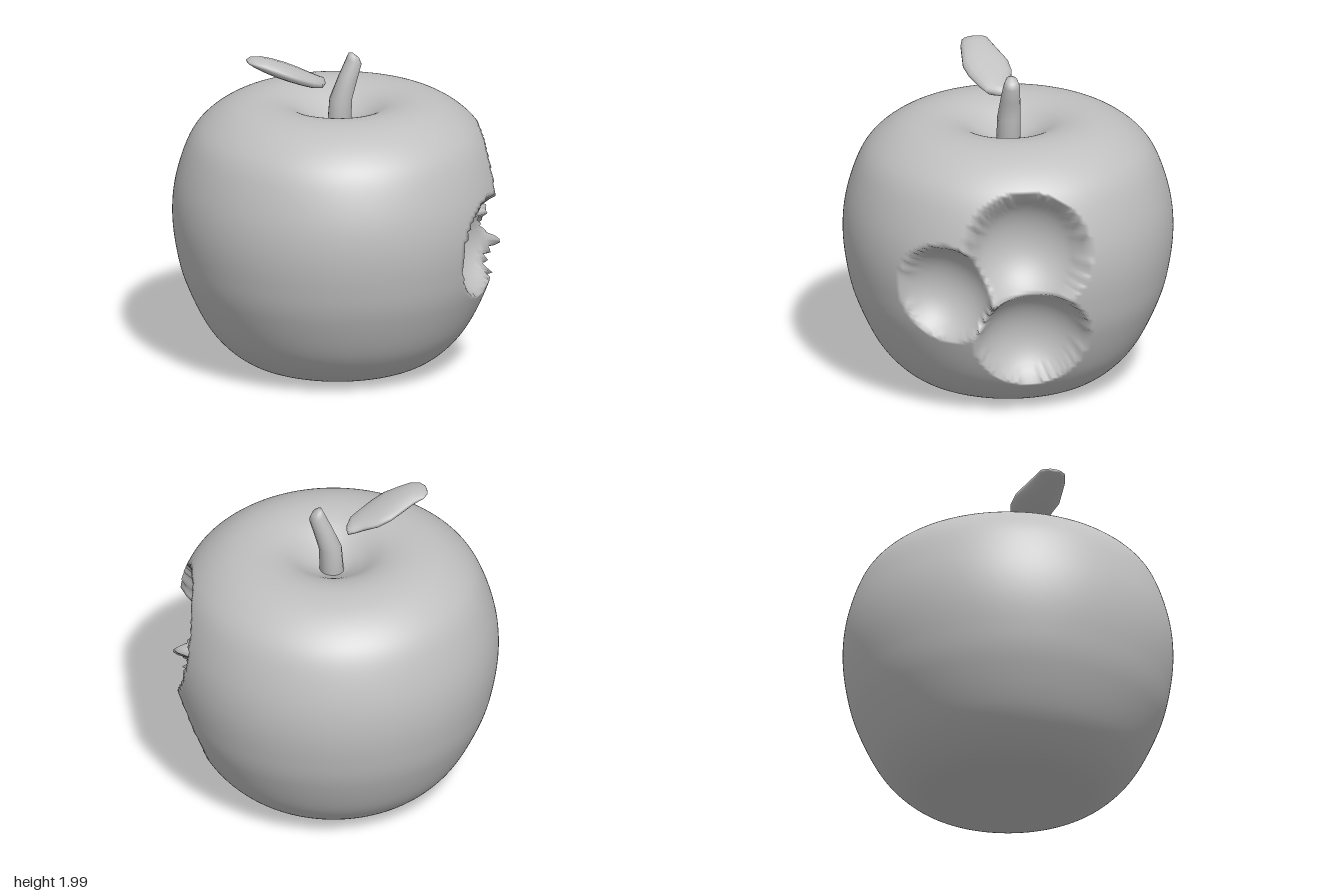
import * as THREE from 'three';
import { mergeVertices } from 'three/addons/utils/BufferGeometryUtils.js';

// Smooth closed loft. Each section is [x, y, z, ax, ay, az]:
// an ellipse around (x, y, z) with half-axes (ax, ay, 0) and (0, 0, az).
function loft(sections, sides) {
  const pos = [], index = [];
  sections.forEach(([x, y, z, ax, ay, az], i) => {
    for (let j = 0; j < sides; j++) {
      const t = (j / sides) * Math.PI * 2, c = Math.cos(t), s = Math.sin(t);
      pos.push(x + ax * c, y + ay * c, z + az * s);
      if (i === sections.length - 1) continue;
      const k = (j + 1) % sides;
      const a = i * sides + j, b = i * sides + k;
      index.push(a, a + sides, b, b, a + sides, b + sides);
    }
  });
  const g = new THREE.BufferGeometry();
  g.setAttribute('position', new THREE.Float32BufferAttribute(pos, 3));
  g.setIndex(index);
  const merged = mergeVertices(g, 1e-4);
  merged.computeVertexNormals();
  return merged;
}

// Turned fruit body with dimples at both ends, then scooped by spheres
function bodyGeometry() {
  const profile = new THREE.SplineCurve([
    [0, 0.08], [0.1, 0.065], [0.25, 0.03], [0.4, 0.01], [0.6, 0.075], [0.78, 0.25],
    [0.92, 0.53], [0.98, 0.76], [1.0, 0.98], [0.975, 1.19], [0.9, 1.41], [0.8, 1.54],
    [0.65, 1.635], [0.48, 1.67], [0.32, 1.645], [0.17, 1.56], [0.07, 1.505], [0, 1.49],
  ].map(([r, y]) => new THREE.Vector2(r, y)));
  const points = profile.getSpacedPoints(150);
  points.forEach((p) => { p.x = Math.max(p.x, 0); });
  points[0].x = points[150].x = 0;

  let g = new THREE.LatheGeometry(points, 200);
  g.deleteAttribute('uv');
  g.deleteAttribute('normal');
  g.translate(0.02, 0, 0);
  g = mergeVertices(g, 1e-4);

  // Bite marks: centre and radius of each scoop
  const scoops = [
    [new THREE.Vector3(1.085, 1.13, 0.1), 0.4],
    [new THREE.Vector3(1.03, 0.5, 0.05), 0.37],
    [new THREE.Vector3(0.92, 0.83, 0.645), 0.345],
  ];
  const core = new THREE.Vector3(0.02, 0.85, 0);
  const p = g.attributes.position, v = new THREE.Vector3(), to = new THREE.Vector3();
  for (let i = 0; i < p.count; i++) {
    v.fromBufferAttribute(p, i).sub(core);
    let dist = v.length();
    v.normalize();
    // Pull the vertex toward the core until it leaves the scoop
    for (const [centre, radius] of scoops) {
      to.copy(centre).sub(core);
      const along = to.dot(v);
      const d = along * along - to.lengthSq() + radius * radius;
      if (along > 0 && d > 0) dist = Math.min(dist, along - Math.sqrt(d));
    }
    v.multiplyScalar(dist).add(core);
    p.setXYZ(i, v.x, v.y, v.z);
  }
  g.computeVertexNormals();
  return g;
}

export function createModel() {
  const model = new THREE.Group();
  model.name = 'bittenApple';
  const grey = new THREE.MeshStandardMaterial({ color: 0xc0c0c0 });
  grey.name = 'plain grey';

  const add = (name, geometry) => {
    const mesh = new THREE.Mesh(geometry, grey);
    mesh.name = name;
    model.add(mesh);
  };

  add('body', bodyGeometry());

  // Leaning stem with a slanted tip
  add('stem', loft([
    [0.025, 1.42, 0, 0, 0, 0],
    [0.025, 1.42, 0, 0.075, 0, 0.075],
    [0.04, 1.67, 0, 0.07, 0, 0.07],
    [0.085, 1.8, 0, 0.058, -0.01, 0.06],
    [0.122, 1.9, 0, 0.046, -0.02, 0.05],
    [0.122, 1.935, 0, 0.032, -0.018, 0.035],
    [0.115, 1.952, 0, 0, 0, 0],
  ], 14));

  // Thick lumpy leaf rising to the side
  add('leaf', loft([
    [-0.06, 1.78, -0.01, 0, 0, 0],
    [-0.065, 1.785, -0.005, 0, 0.022, 0.04],
    [-0.1, 1.793, 0.03, 0, 0.033, 0.08],
    [-0.16, 1.815, 0.045, 0, 0.043, 0.1],
    [-0.24, 1.85, 0.05, 0, 0.048, 0.135],
    [-0.32, 1.886, 0.063, 0, 0.05, 0.143],
    [-0.4, 1.92, 0.075, 0, 0.05, 0.12],
    [-0.47, 1.95, 0.085, 0, 0.043, 0.1],
    [-0.53, 1.968, 0.082, 0, 0.026, 0.082],
    [-0.56, 1.972, 0.08, 0, 0.01, 0.045],
    [-0.565, 1.972, 0.08, 0, 0, 0],
  ], 14));

  return model;
}
